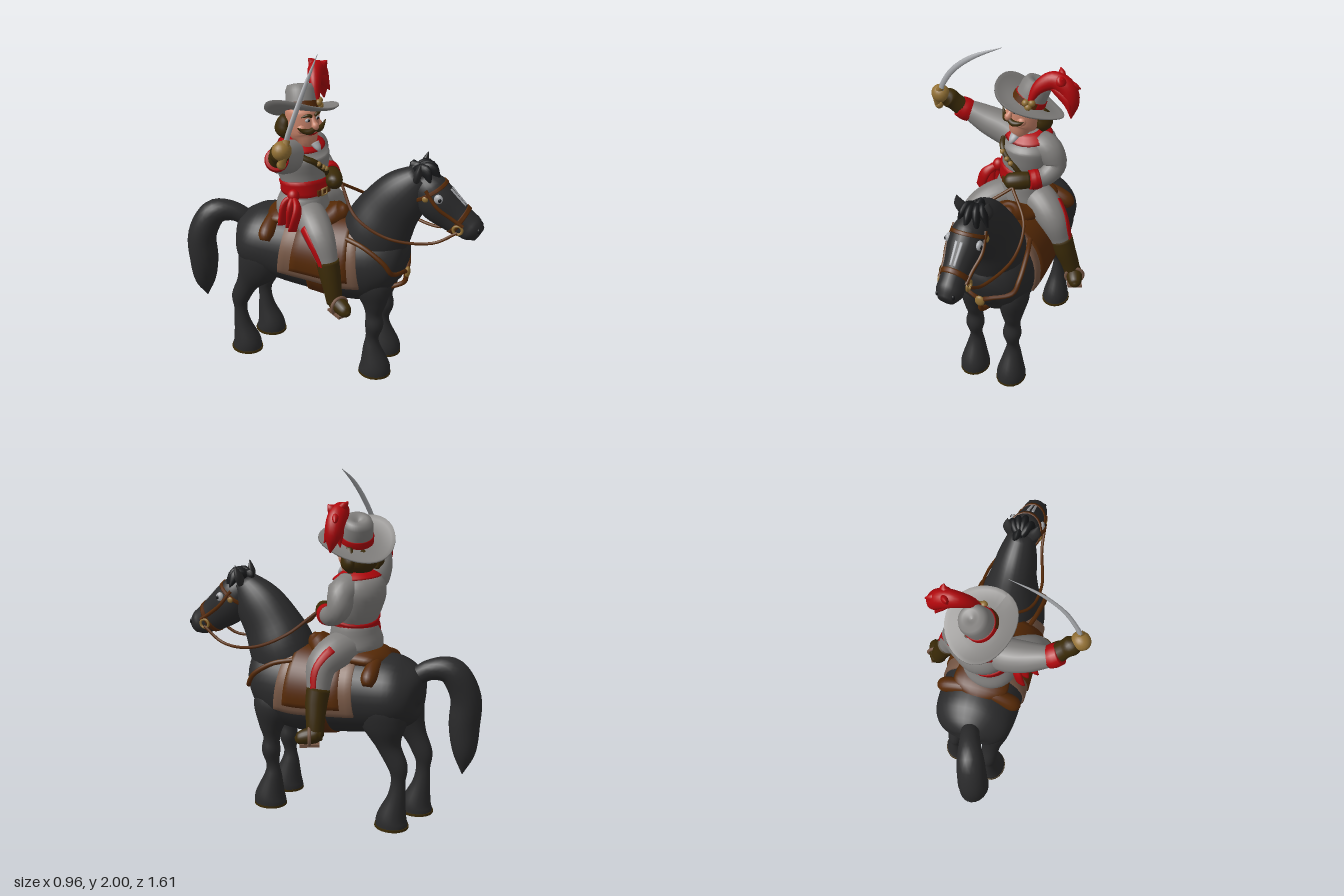
import * as THREE from 'three';

const std = (name, color) => Object.assign(new THREE.MeshStandardMaterial({ color }), { name });
const V = (x, y, z) => new THREE.Vector3(x, y, z);
const Y = V(0, 1, 0), Z = V(0, 0, 1), X = V(1, 0, 0), YZ = V(0, 1, 1).normalize();

// Surface of a swept ellipse; stations are [x, y, z, rx, ry], returns f(u, angle, offset)
function surface(st, up) {
  const path = new THREE.CatmullRomCurve3(st.map(s => V(s[0], s[1], s[2])), false, 'catmullrom');
  const size = new THREE.CatmullRomCurve3(st.map(s => V(s[3], s[4] ?? s[3], 0)), false, 'catmullrom');
  return (u, a, off = 0) => {
    const t = path.getTangent(u), r = size.getPoint(u);
    const side = up.clone().cross(t).normalize(), top = t.clone().cross(side);
    return path.getPoint(u)
      .addScaledVector(side, (Math.max(r.x, 0.001) + off) * Math.cos(a))
      .addScaledVector(top, (Math.max(r.y, 0.001) + off) * Math.sin(a));
  };
}

// Whole capped sweep, or a raised band / patch over part of one
function sweep(st, up = Y, { u0 = 0, u1 = 1, a0 = 0, a1 = Math.PI * 2, off = 0, seg = 20 } = {}) {
  const f = surface(st, up), n = Math.max(4, Math.ceil((u1 - u0) * (st.length - 1) * 5));
  const closed = a1 - a0 > 6.28, patch = off > 0, rows = [], cols = [];
  for (let i = 0; i <= n; i++) rows.push([u0 + (u1 - u0) * i / n, off]);
  for (let j = 0; j < seg + (closed ? 0 : 1); j++) cols.push([a0 + (a1 - a0) * j / seg, 1]);
  if (patch) { rows.unshift([u0, -0.004]); rows.push([u1, -0.004]); }
  if (patch && !closed) { cols.unshift([a0, 0]); cols.push([a1, 0]); }
  const pos = [], idx = [], C = cols.length, R = rows.length;
  for (const [u, o] of rows) for (const [a, k] of cols) pos.push(...f(u, a, k ? o : -0.004).toArray());
  for (let i = 0; i < R - 1; i++) for (let j = 0; j < (closed ? C : C - 1); j++) {
    const k = (j + 1) % C, a = i * C + j, b = i * C + k;
    idx.push(a, b, a + C, b, b + C, a + C);
  }
  if (closed && !patch) {
    const s = st[0], e = st[st.length - 1], cs = R * C, last = (R - 1) * C;
    pos.push(s[0], s[1], s[2], e[0], e[1], e[2]);
    for (let j = 0; j < C; j++) {
      const k = (j + 1) % C;
      idx.push(cs, k, j, cs + 1, last + j, last + k);
    }
  }
  const g = new THREE.BufferGeometry();
  g.setAttribute('position', new THREE.Float32BufferAttribute(pos, 3));
  g.setIndex(idx);
  g.computeVertexNormals();
  return g;
}
const cord = (pts, r) => new THREE.TubeGeometry(
  new THREE.CatmullRomCurve3(pts.map(p => p.isVector3 ? p : V(...p))), 28, r, 8);
const ball = (x, y, z, a, b = a, c = a) => new THREE.SphereGeometry(1, 20, 14).scale(a, b, c).translate(x, y, z);

export function createModel() {
  const horseGrey = std('horse charcoal', 0x2a2a2b), black = std('mane black', 0x17181a);
  const brown = std('leather brown', 0x552906), tan = std('trim tan', 0x755644);
  const olive = std('boot and hair brown', 0x3a2a07), gold = std('gold', 0x927034);
  const red = std('red', 0xb0070c), grey = std('uniform grey', 0x817f7d);
  const skin = std('skin', 0xc8836a), silver = std('silver', 0xa6a8ac);
  const root = new THREE.Group();
  const add = (parent, name, geo, mat) => {
    const m = new THREE.Mesh(geo, mat); m.name = name; parent.add(m); return m;
  };
  const group = (name, parent = root) => {
    const g = new THREE.Group(); g.name = name; parent.add(g); return g;
  };

  // ---------- Horse, turned toward its left ----------
  const horse = group('horse');
  horse.position.x = 0.09; horse.rotation.y = 0.42;
  const body = [[0, .8, -.615, .05, .05], [0, .8, -.585, .16, .14], [0, .785, -.49, .23, .205], [0, .765, -.3, .24, .235],
    [0, .745, -.1, .235, .245], [0, .735, .1, .235, .262], [0, .75, .27, .22, .245], [0, .725, .38, .165, .175], [0, .71, .425, .05, .06]];
  const neck = [[0, .78, .19, .18, .2], [0, .96, .255, .175, .2], [0, 1.1, .325, .138, .175], [0, 1.225, .415, .11, .145], [0, 1.33, .5, .07, .08]];
  const head = [[0, 1.33, .49, .055, .055], [0, 1.27, .53, .09, .105], [0, 1.19, .59, .1, .12], [0, 1.12, .68, .08, .105],
    [0, 1.07, .76, .072, .085], [0, 1.045, .8, .072, .075], [0, 1.02, .84, .042, .047]];
  add(horse, 'horseBody', sweep(body, Y, { seg: 32 }), horseGrey);
  add(horse, 'horseNeck', sweep(neck, Y, { seg: 28 }), horseGrey);
  add(horse, 'horseHead', sweep(head, Y, { seg: 24 }), horseGrey);
  for (const a of [1.35, 1.63])
    add(horse, 'blazeStreak', sweep(head, Y, { u0: .3, u1: .54, a0: a, a1: a + .16, off: .003, seg: 3 }), silver);

  for (const s of [-1, 1]) {
    const fx = s * .12 + .01, hx = s * .12, hz = s * .035;
    add(horse, 'frontLeg', sweep([[fx * .9, .76, .23, .06, .09], [fx, .64, .255, .088, .12], [fx, .52, .27, .066, .08], [fx, .43, .27, .045, .05], [fx, .35, .275, .055, .056],
      [fx, .26, .265, .035, .04], [fx, .18, .265, .051, .056], [fx, .06, .285, .082, .092], [fx, .004, .285, .087, .1]], Z), horseGrey);
    add(horse, 'hindLeg', sweep([[hx * .6, .85, -.38, .05, .07], [hx * .9, .75, -.415, .115, .145], [hx, .63, -.45 + hz * .4, .1, .135], [hx, .5, -.5 + hz, .058, .072], [hx, .38, -.555 + hz, .046, .058],
      [hx, .29, -.56 + hz, .035, .042], [hx, .18, -.55 + hz, .05, .055], [hx, .06, -.525 + hz, .078, .088], [hx, .004, -.525 + hz, .083, .096]], Z), horseGrey);
    for (const [x, z] of [[fx, .285], [hx, -.525 + hz]]) {
      const hoof = add(horse, 'hoof', new THREE.CylinderGeometry(.087, .088, .014, 20).scale(1, 1, 1.15), olive);
      hoof.position.set(x, .007, z);
    }
    add(horse, 'ear', sweep([[s * .06, 1.33, .48, .03, .02], [s * .08, 1.38, .49, .032, .02], [s * .09, 1.44, .505, .002, .002]], Z), horseGrey);
    add(horse, 'horseEye', ball(s * .086, 1.243, .612, .018, .028, .026), silver);
    add(horse, 'horsePupil', ball(s * .1, 1.243, .622, .008, .012, .01), black);
    add(horse, 'nostril', ball(s * .045, 1.06, .842, .01, .015, .01), black);
    // Bridle cheek strap, bit ring and rein
    const hs = surface(head, Y), a = s > 0 ? .15 : Math.PI - .15;
    add(horse, 'cheekStrap', cord([hs(.15, a, .002), hs(.35, a, .002), hs(.5, a, .003), hs(.64, a, .004)], .011), brown);
    const ring = add(horse, 'bitRing', new THREE.TorusGeometry(.026, .008, 8, 18), gold);
    ring.position.set(s * .08, 1.065, .73); ring.rotation.y = Math.PI / 2;
    add(horse, 'bridleBoss', ball(s * .097, 1.235, .54, .01, .018, .018), gold);
    add(horse, 'rein', cord([[s * .083, 1.05, .73], [s * .1, .97, .6], [s * .168, .99, .36], [s * .145, 1.08, .16], [.015, 1.2, .02]], .009), brown);
    // Breast collar
    const bs = surface(body, Y), q = t => s > 0 ? t : Math.PI - t;
    add(horse, 'breastStrap', cord([bs(.64, q(.85), .015), bs(.72, q(.68), .018), bs(.8, q(.42), .014), bs(.87, q(.22), .014), V(s * .06, .725, .43), V(0, .69, .432)], .014), brown);
  }
  add(horse, 'noseBand', sweep(head, Y, { u0: .56, u1: .61, off: .006 }), brown);
  add(horse, 'browBand', sweep(head, Y, { u0: .19, u1: .225, off: .006 }), brown);
  const under = surface(body, Y);
  add(horse, 'bellyStrap', cord([V(0, .69, .432), V(0, .62, .425), ...[.9, .84, .76, .68, .56].map(u => under(u, -Math.PI / 2, .005))], .015), brown);
  add(horse, 'breastMedallion', ball(0, .69, .44, .03, .034, .016), gold);

  // Forelock
  for (const [x, y, z] of [[-.06, 1.31, .56], [0, 1.29, .61], [.06, 1.27, .59], [.1, 1.31, .54], [.03, 1.33, .42]])
    add(horse, 'forelock', sweep([[0, 1.35, .46, .035, .025], [x * .6, 1.378, (z + .48) / 2, .036, .024], [x, y, z, .004, .004]], X), black);

  // Saddle, blanket and roll
  add(horse, 'blanketTrim', sweep(body, Y, { u0: .385, u1: .69, a0: -.34, a1: Math.PI + .34, off: .012, seg: 36 }), tan);
  add(horse, 'blanket', sweep(body, Y, { u0: .432, u1: .65, a0: -.15, a1: Math.PI + .15, off: .019, seg: 36 }), brown);
  add(horse, 'girth', sweep(body, Y, { u0: .495, u1: .56, off: .01, seg: 32 }), brown);
  add(horse, 'saddleSeat', sweep([[0, .95, -.39, .1, .05], [0, .98, -.34, .16, .05], [0, .98, -.22, .15, .06], [0, .99, -.05, .14, .06],
    [0, 1.03, .03, .07, .06], [0, 1.06, .06, .02, .02]]), brown);
  add(horse, 'saddleRoll', sweep([[-.225, .875, -.37, .028], [-.2, .915, -.37, .045], [-.1, .96, -.365, .042], [0, .97, -.36, .04],
    [.1, .96, -.365, .042], [.2, .915, -.37, .045], [.225, .875, -.37, .028]], Z), brown);

  // Tail
  add(root, 'tail', sweep([[-.14, .87, -.5, .05], [-.21, .93, -.585, .06], [-.29, .915, -.67, .08], [-.345, .77, -.722, .087],
    [-.345, .6, -.72, .088], [-.335, .44, -.735, .065], [-.32, .31, -.74, .002]], X), horseGrey);

  // ---------- Rider ----------
  const rider = group('rider');
  const torso = [[0, .95, -.18, .1, .1], [-.01, 1.03, -.18, .165, .15], [0, 1.12, -.18, .14, .135], [0, 1.18, -.18, .13, .125],
    [.01, 1.28, -.2, .155, .15], [.01, 1.37, -.21, .165, .16], [.01, 1.43, -.205, .125, .115], [.01, 1.47, -.2, .06, .06]];
  add(rider, 'coat', sweep(torso, Z, { seg: 28 }), grey);
  add(rider, 'sash', sweep(torso, Z, { u0: .37, u1: .48, off: .01, seg: 28 }), red);
  add(rider, 'collar', sweep(torso, Z, { u0: .845, u1: .985, off: .013, seg: 24 }), red);
  add(rider, 'shirtCollar', sweep([[.01, 1.455, -.1, .03, .02], [.01, 1.43, -.074, .02, .014], [.01, 1.41, -.064, .004, .004]], Z), silver);
  // Chest angle pi/2 faces forward, and larger angles go to the left
  const chest = surface(torso, Z), half = Math.PI / 2;
  add(rider, 'baldric', cord([[.88, half - 1.05], [.8, half - .72], [.7, half - .35], [.6, half - .02], [.53, half + .35], [.47, half + .7]]
    .map(([u, a]) => chest(u, a, .001)), .017), olive);
  for (const [u, a] of [[.6, 0], [.66, -.2], [.57, .16]])
    add(rider, 'baldricStud', new THREE.SphereGeometry(.015, 10, 8).translate(...chest(u, half + a, .014).toArray()), gold);
  add(rider, 'buckleTab', new THREE.BoxGeometry(.1, .036, .012).translate(.02, 1.165, -.042), brown);
  const buckle = add(rider, 'buckle', new THREE.TorusGeometry(.026, .007, 8, 4), gold);
  buckle.position.set(.02, 1.165, -.036); buckle.rotation.z = Math.PI / 4;
  add(rider, 'sashKnot', ball(-.15, 1.17, -.12, .035, .04, .035), red);
  for (const [x, z] of [[-.235, -.05], [-.2, -.1], [-.215, -.15]])
    add(rider, 'sashTail', sweep([[-.15, 1.17, -.12, .015], [-.19, 1.12, z, .032, .018], [x, 1.0, z, .036, .012]], Z), red);

  // Arms
  const arm = (name, sleeve, cuff, glove) => {
    const g = group(name, rider);
    add(g, 'sleeve', sweep(sleeve, YZ), grey);
    add(g, 'cuff', sweep(cuff, YZ), red);
    add(g, 'glove', sweep(glove, YZ), olive);
  };
  arm('rightArm', [[-.05, 1.37, -.2, .09], [-.14, 1.395, -.175, .095], [-.235, 1.43, -.125, .084], [-.32, 1.475, -.07, .062], [-.355, 1.49, -.045, .05]],
    [[-.328, 1.472, -.065, .062], [-.35, 1.49, -.042, .066], [-.372, 1.51, -.018, .06]],
    [[-.355, 1.5, -.03, .054], [-.38, 1.545, .01, .05], [-.4, 1.575, .04, .054], [-.41, 1.595, .08, .025]]);
  arm('leftArm', [[.08, 1.38, -.22, .09], [.15, 1.36, -.235, .08], [.185, 1.28, -.245, .068], [.18, 1.23, -.18, .058], [.15, 1.22, -.11, .05]],
    [[.17, 1.225, -.145, .056], [.155, 1.22, -.12, .061], [.138, 1.22, -.09, .056]],
    [[.14, 1.22, -.09, .048], [.105, 1.22, -.04, .05], [.065, 1.215, 0, .044], [.045, 1.21, .015, .012]]);

  // Sabre
  const sabre = group('sabre', rider);
  add(sabre, 'blade', sweep([[-.41, 1.62, .085, .018, .01], [-.385, 1.69, .085, .018, .01], [-.3, 1.81, .072, .017, .01],
    [-.18, 1.915, .03, .013, .008], [-.03, 2.0, -.04, .001, .001]], Z, { seg: 8 }), silver);
  add(sabre, 'guard', ball(-.425, 1.605, .075, .055, .052, .05), gold);
  add(sabre, 'grip', cord([[-.4, 1.66, .085], [-.43, 1.6, .1], [-.44, 1.53, .085]], .02), gold);
  add(sabre, 'pommel', ball(-.435, 1.53, .08, .025), gold);

  // Legs with outer stripe, boots and stirrups
  const leg = (name, trousers, boot, foot, out) => {
    const g = group(name, rider);
    add(g, 'trousers', sweep(trousers, YZ), grey);
    add(g, 'stripe', sweep(trousers, YZ, { u0: .35, u1: .97, a0: out - .24, a1: out + .24, off: .005, seg: 4 }), red);
    add(g, 'bootShaft', sweep(boot, YZ), olive);
    add(g, 'bootFoot', sweep(foot, Y), olive);
    const mid = V(...foot[1].slice(0, 3)), toe = V(...foot[3].slice(0, 3));
    const stirrup = group('stirrup', g);
    stirrup.position.copy(mid).lerp(toe, .4);
    stirrup.lookAt(toe.x, stirrup.position.y, toe.z);
    add(stirrup, 'stirrupLoop', new THREE.TorusGeometry(.052, .01, 8, 20), tan);
    add(stirrup, 'stirrupTread', new THREE.BoxGeometry(.085, .016, .11).translate(0, -.042, 0), tan);
  };
  leg('rightLeg', [[-.02, 1.03, -.16, .1], [-.085, 1.01, -.03, .096], [-.128, .95, .07, .084], [-.14, .85, .13, .064], [-.145, .79, .15, .054]],
    [[-.14, .84, .135, .067], [-.145, .76, .16, .062], [-.15, .67, .185, .053], [-.148, .59, .2, .047]],
    [[-.145, .595, .16, .03], [-.148, .595, .2, .045], [-.16, .59, .26, .046], [-.172, .58, .31, .036], [-.176, .578, .335, .01]], Math.PI);
  leg('leftLeg', [[.04, 1.03, -.2, .1], [.15, 1.02, -.19, .1], [.25, .96, -.18, .086], [.295, .85, -.2, .066], [.31, .79, -.21, .054]],
    [[.3, .84, -.205, .067], [.325, .76, -.215, .062], [.35, .67, -.235, .053], [.365, .59, -.25, .047]],
    [[.345, .6, -.285, .03], [.365, .6, -.26, .045], [.405, .59, -.225, .046], [.44, .58, -.195, .034], [.455, .578, -.182, .01]], 0);

  // Head
  const face = group('riderHead', rider);
  face.position.set(0, 1.57, -.185); face.rotation.y = -.14;
  add(face, 'skull', sweep([[0, -.14, -.02, .05, .05], [0, -.105, .025, .06, .065], [0, -.06, .015, .087, .09], [0, .02, 0, .094, .1], [0, .08, -.01, .085, .09], [0, .1, -.01, .03, .03]], Z), skin);
  add(face, 'nose', sweep([[0, .055, .085, .01], [0, .02, .105, .016], [0, .002, .115, .021, .023], [0, -.012, .1, .008]], Z), skin);
  add(face, 'mouth', ball(0, -.046, .09, .035, .012, .012), red);
  add(face, 'hairBack', ball(.01, -.04, -.07, .095, .075, .072), olive);
  for (const s of [-1, 1]) {
    add(face, 'moustache', sweep([[0, -.012, .112, .014], [s * .035, -.024, .108, .017], [s * .07, -.016, .092, .012], [s * .102, .008, .082, .002]], Y), olive);
    add(face, 'brow', sweep([[s * .012, .058, .098, .008], [s * .035, .068, .094, .01], [s * .068, .058, .075, .003]], Y), olive);
    add(face, 'eye', ball(s * .034, .038, .089, .016, .011, .01), silver);
    add(face, 'pupil', ball(s * .032, .038, .097, .007, .008, .005), black);
    add(face, 'cheek', ball(s * .055, -.015, .065, .032, .028, .026), skin);
    add(face, 'sideHair', sweep([[s * .085, .03, -.045, .02, .03], [s * .098, -.01, -.06, .026, .045], [s * .1, -.055, -.065, .032, .05], [s * .085, -.1, -.07, .012, .02]], Z), olive);
  }

  // Hat tipped back and toward the left, one side of the brim curled up
  const hat = group('hat', rider);
  hat.position.set(.01, 1.63, -.2); hat.rotation.set(-.34, 0, -.24);
  const lathe = pts => new THREE.LatheGeometry(pts.map(p => new THREE.Vector2(...p)), 36);
  const brim = lathe([[.06, -.002], [.13, -.01], [.19, 0], [.212, .014], [.21, .022], [.19, .012], [.13, .002], [.06, .012]]);
  const bp = brim.attributes.position;
  for (let i = 0; i < bp.count; i++) {
    const x = bp.getX(i), z = bp.getZ(i);
    bp.setY(i, bp.getY(i) + (x < 0 ? .85 : .35) * x * x - .6 * z * z);
  }
  brim.computeVertexNormals();
  add(hat, 'brim', brim, grey);
  add(hat, 'crown', lathe([[.092, -.01], [.087, .06], [.085, .11], [.072, .14], [.045, .145], [.02, .128], [0, .122]]), grey);
  add(hat, 'hatBand', lathe([[.09, .0], [.096, .004], [.094, .042], [.086, .044]]), red);
  add(hat, 'frontRibbon', new THREE.CylinderGeometry(.097, .099, .04, 24, 1, true, -1.2, 2.4).translate(0, .024, 0), brown);
  for (const [x, y, z] of [[.05, .03, .09], [.075, .045, .07], [.07, .015, .078]])
    add(hat, 'hatJewel', ball(x, y, z, .02), gold);

  // Plume: a main vane with smaller drooping barbs
  const plume = group('plume', rider);
  add(plume, 'vane', sweep([[.075, 1.67, -.14, .012], [.1, 1.76, -.18, .035, .03], [.16, 1.81, -.235, .052, .045], [.225, 1.78, -.27, .055, .05],
    [.26, 1.7, -.28, .042, .045], [.27, 1.61, -.27, .004]], Z), red);
  for (const [x, y, z] of [[.16, 1.87, -.29], [.24, 1.855, -.22], [.285, 1.78, -.32], [.285, 1.66, -.24], [.235, 1.64, -.31]])
    add(plume, 'barb', sweep([[.15, 1.79, -.22, .02], [(x + .2) / 2, (y + 1.8) / 2, (z - .25) / 2, .032, .024], [x, y, z, .003]], Z), red);
  return root;
}
